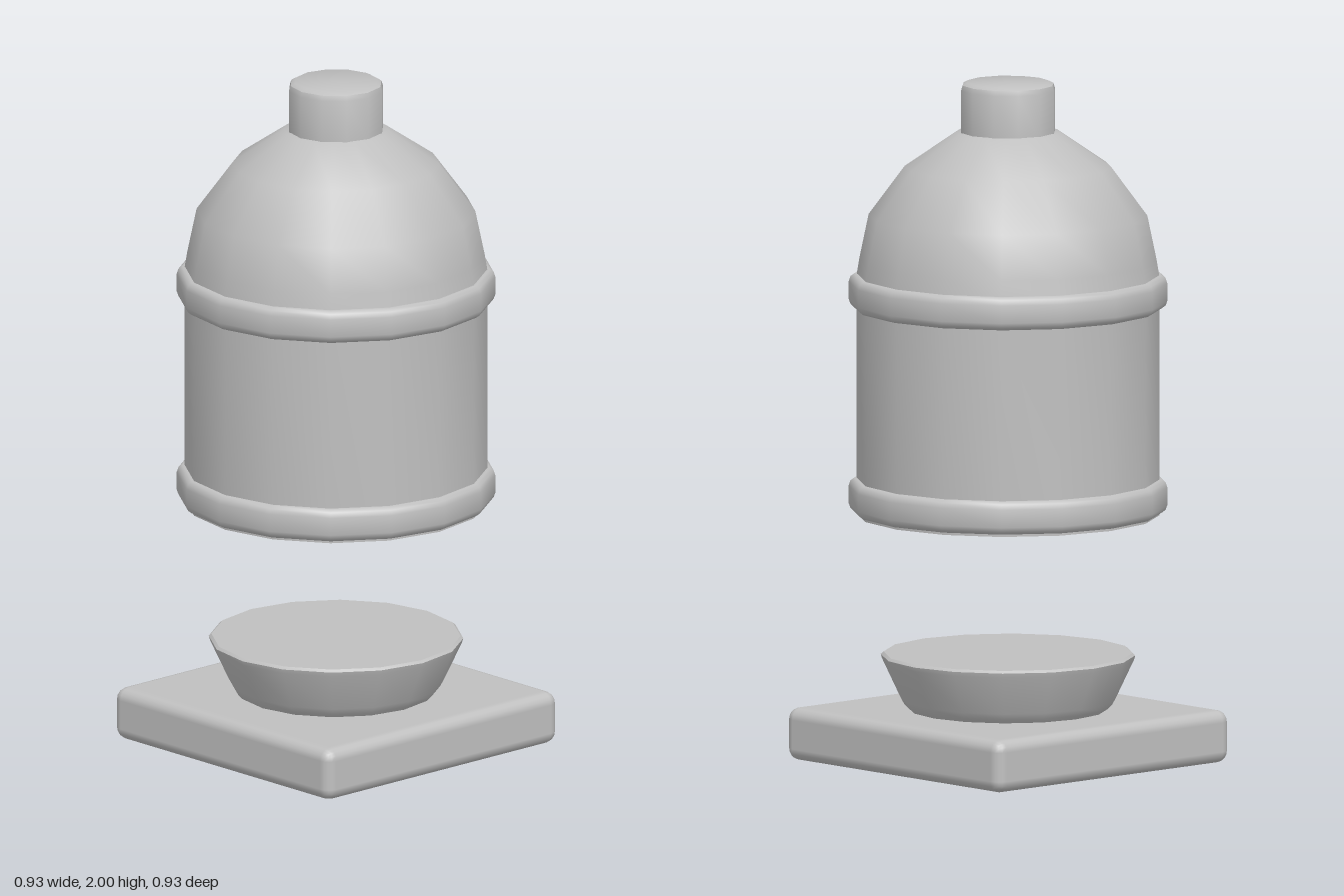
import * as THREE from 'three';
import { toCreasedNormals } from 'three/addons/utils/BufferGeometryUtils.js';
import { RoundedBoxGeometry } from 'three/addons/geometries/RoundedBoxGeometry.js';

export function createModel() {
  const model = new THREE.Group();
  model.name = 'domedCanister';
  const grey = new THREE.MeshStandardMaterial({ name: 'grey', color: 0xc0c0c0 });

  function add(name, geometry, y = 0) {
    const mesh = new THREE.Mesh(geometry, grey);
    mesh.name = name;
    mesh.position.y = y;
    model.add(mesh);
    return mesh;
  }

  // Turned part from [radius, height] points, listed bottom to top on the outside
  function turned(name, points, sides, y = 0, crease = 0.7) {
    const profile = points.map(([r, h]) => new THREE.Vector2(r, h));
    return add(name, toCreasedNormals(new THREE.LatheGeometry(profile, sides), crease), y);
  }

  // Square base slab with soft edges
  add('base', new RoundedBoxGeometry(0.92, 0.155, 0.92, 2, 0.035), 0.0825).position.y = 0.0825;

  // Flared dish, closed on top
  turned('dish', [
    [0, 0.155], [0.285, 0.155], [0.302, 0.172], [0.312, 0.19],
    [0.366, 0.305], [0.37, 0.318], [0.362, 0.325], [0, 0.325],
  ], 16);

  // Straight body with a closed underside
  turned('body', [[0, 0.73], [0.44, 0.73], [0.44, 1.42]], 16);

  // Dome over the body
  turned('dome', [
    [0.442, 1.42], [0.432, 1.48], [0.405, 1.61], [0.3, 1.752], [0.152, 1.853], [0, 1.87],
  ], 16, 0, 0.9);

  // Two raised bands with bevelled edges
  for (const [name, y] of [['lowerBand', 0.738], ['upperBand', 1.338]]) {
    turned(name, [
      [0.425, 0], [0.447, 0], [0.458, 0.008], [0.463, 0.022],
      [0.463, 0.074], [0.458, 0.089], [0.447, 0.097], [0.438, 0.097], [0.425, 0.085], [0.425, 0],
    ], 16, y);
  }

  // Cap on top of the dome
  turned('cap', [
    [0, 1.84], [0.14, 1.84], [0.14, 1.978], [0.135, 1.993], [0.122, 2], [0, 2],
  ], 12);

  return model;
}
